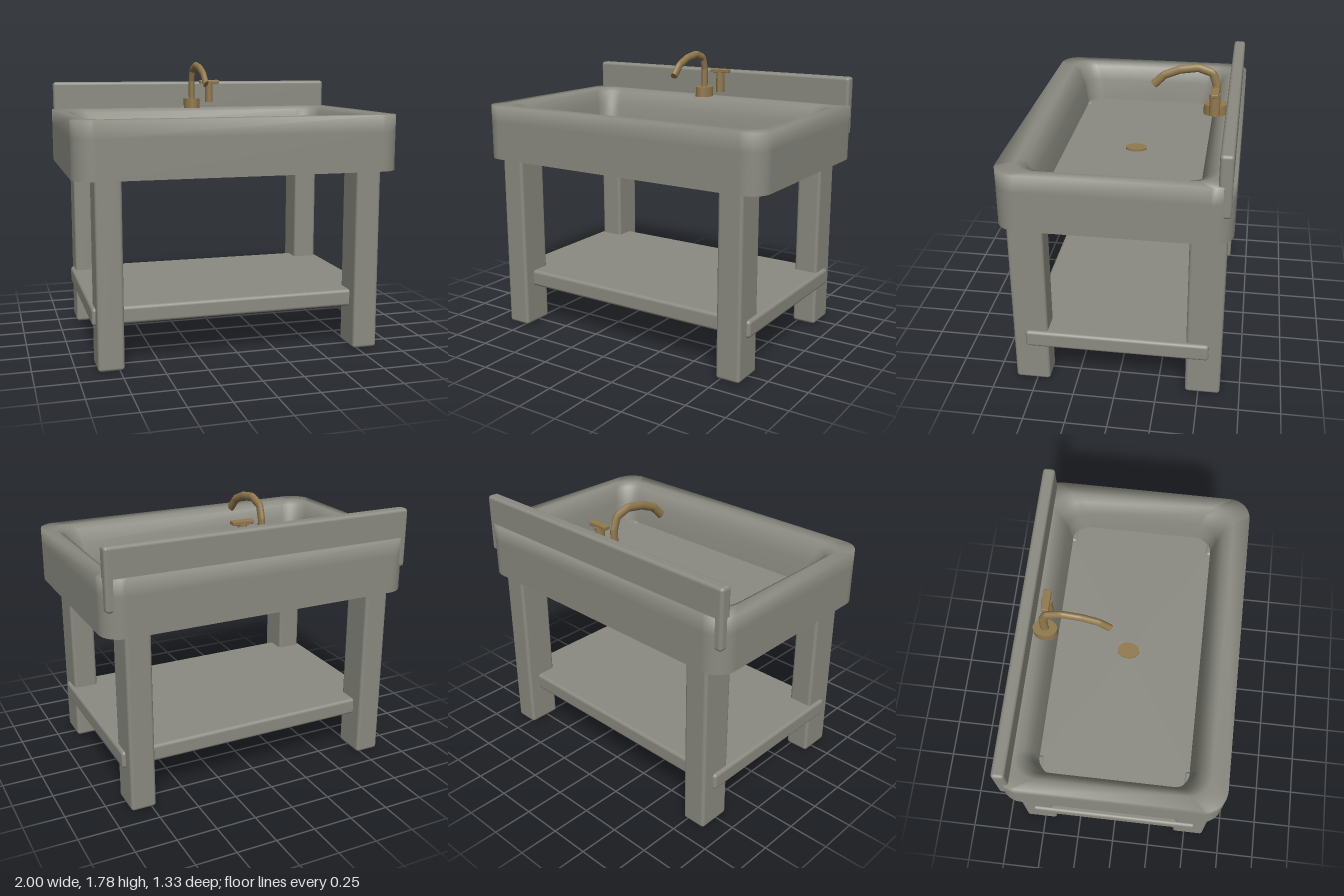
import * as THREE from 'three';
import { RoundedBoxGeometry } from 'three/addons/geometries/RoundedBoxGeometry.js';

const stone = new THREE.MeshStandardMaterial({ color: 0x8b8b82 });
const brass = new THREE.MeshStandardMaterial({ color: 0x91794e });

// Points of a rounded rectangle: half sizes, corner radius, height
function ring([hx, hz, r, y], steps = 8) {
  const points = [];
  for (let corner = 0; corner < 4; corner++) {
    const sx = corner === 0 || corner === 3 ? 1 : -1;
    const sz = corner < 2 ? 1 : -1;
    for (let i = 0; i <= steps; i++) {
      const a = (corner + i / steps) * Math.PI / 2;
      points.push(sx * (hx - r) + r * Math.cos(a), y, sz * (hz - r) + r * Math.sin(a));
    }
  }
  return points;
}

// Smooth skin through a list of rounded rectangles
function loft(sections) {
  const rings = sections.map((s) => ring(s));
  const n = rings[0].length / 3;
  const index = [];
  for (let k = 0; k < rings.length - 1; k++) {
    for (let i = 0; i < n; i++) {
      const j = (i + 1) % n;
      const a = k * n + i, b = a + n, c = k * n + j, d = c + n;
      index.push(a, b, c, c, b, d);
    }
  }
  const geometry = new THREE.BufferGeometry();
  geometry.setAttribute('position', new THREE.Float32BufferAttribute(rings.flat(), 3));
  geometry.setIndex(index);
  geometry.computeVertexNormals();
  return geometry;
}

export function createModel() {
  const model = new THREE.Group();
  const add = (parent, name, geometry, material, x = 0, y = 0, z = 0) => {
    const mesh = new THREE.Mesh(geometry, material);
    mesh.name = name;
    mesh.position.set(x, y, z);
    parent.add(mesh);
    return mesh;
  };

  // Basin: separate skins keep the floor and underside edges sharp
  const basin = new THREE.Group();
  basin.name = 'basin';
  model.add(basin);
  const foot = [1, 0.665, 0.13, 1.12];
  const floor = [0.84, 0.45, 0.11, 1.207];
  add(basin, 'basinUnderside', loft([[0, 0, 0, 1.12], foot]), stone);
  add(basin, 'basinWalls', loft([
    foot,
    [1, 0.665, 0.13, 1.36],
    [1, 0.665, 0.13, 1.462],
    [0.925, 0.565, 0.13, 1.462],
    [0.885, 0.512, 0.125, 1.44],
    [0.857, 0.474, 0.115, 1.35],
    floor,
  ]), stone);
  add(basin, 'basinFloor', loft([floor, [0, 0, 0, 1.207]]), stone);

  // Backsplash
  add(model, 'backsplash', new RoundedBoxGeometry(1.965, 0.373, 0.076, 3, 0.02), stone, 0, 1.456, -0.607);

  // Legs and shelf
  for (const sx of [-1, 1]) {
    for (const sz of [-1, 1]) {
      const name = (sz > 0 ? 'front' : 'back') + (sx > 0 ? 'Left' : 'Right') + 'Leg';
      add(model, name, new RoundedBoxGeometry(0.157, 1.214, 0.212, 3, 0.02), stone, sx * 0.8, 0.607, sz * 0.525);
    }
  }
  add(model, 'shelf', new RoundedBoxGeometry(1.8, 0.107, 1.11, 3, 0.02), stone, 0, 0.31, 0);

  // Drain
  add(model, 'drain', new THREE.CylinderGeometry(0.067, 0.067, 0.022, 32), brass, 0, 1.209, 0).scale.x = 0.75;

  // Faucet base and curved spout, slightly narrowed across x
  const faucet = new THREE.Group();
  faucet.name = 'faucet';
  faucet.position.x = -0.035;
  faucet.scale.x = 0.75;
  model.add(faucet);
  add(faucet, 'faucetBase', new THREE.CylinderGeometry(0.073, 0.073, 0.066, 32), brass, 0, 1.495, -0.493);
  const path = new THREE.CurvePath();
  const bends = [[1.5, -0.495], [1.65, -0.495], [1.725, -0.47], [1.755, -0.38], [1.738, -0.265], [1.7, -0.17], [1.635, -0.105]]
    .map(([y, z]) => new THREE.Vector3(0, y, z));
  for (let i = 1; i < bends.length; i++) path.add(new THREE.LineCurve3(bends[i - 1], bends[i]));
  add(faucet, 'spout', new THREE.TubeGeometry(path, 40, 0.026, 16), brass);
  const tip = add(faucet, 'spoutTip', new THREE.CircleGeometry(0.026, 16), brass);
  tip.position.copy(bends.at(-1));
  tip.lookAt(bends.at(-1).clone().multiplyScalar(2).sub(bends.at(-2)));

  // Handle: post with a crossbar
  const handle = new THREE.Group();
  handle.name = 'handle';
  handle.position.set(0.09, 0, -0.493);
  model.add(handle);
  add(handle, 'handlePost', new THREE.CylinderGeometry(0.033, 0.033, 0.135, 24), brass, 0, 1.568, 0).scale.x = 0.8;
  add(handle, 'handleBar', new RoundedBoxGeometry(0.135, 0.024, 0.045, 2, 0.004), brass, 0, 1.643, 0);

  return model;
}
